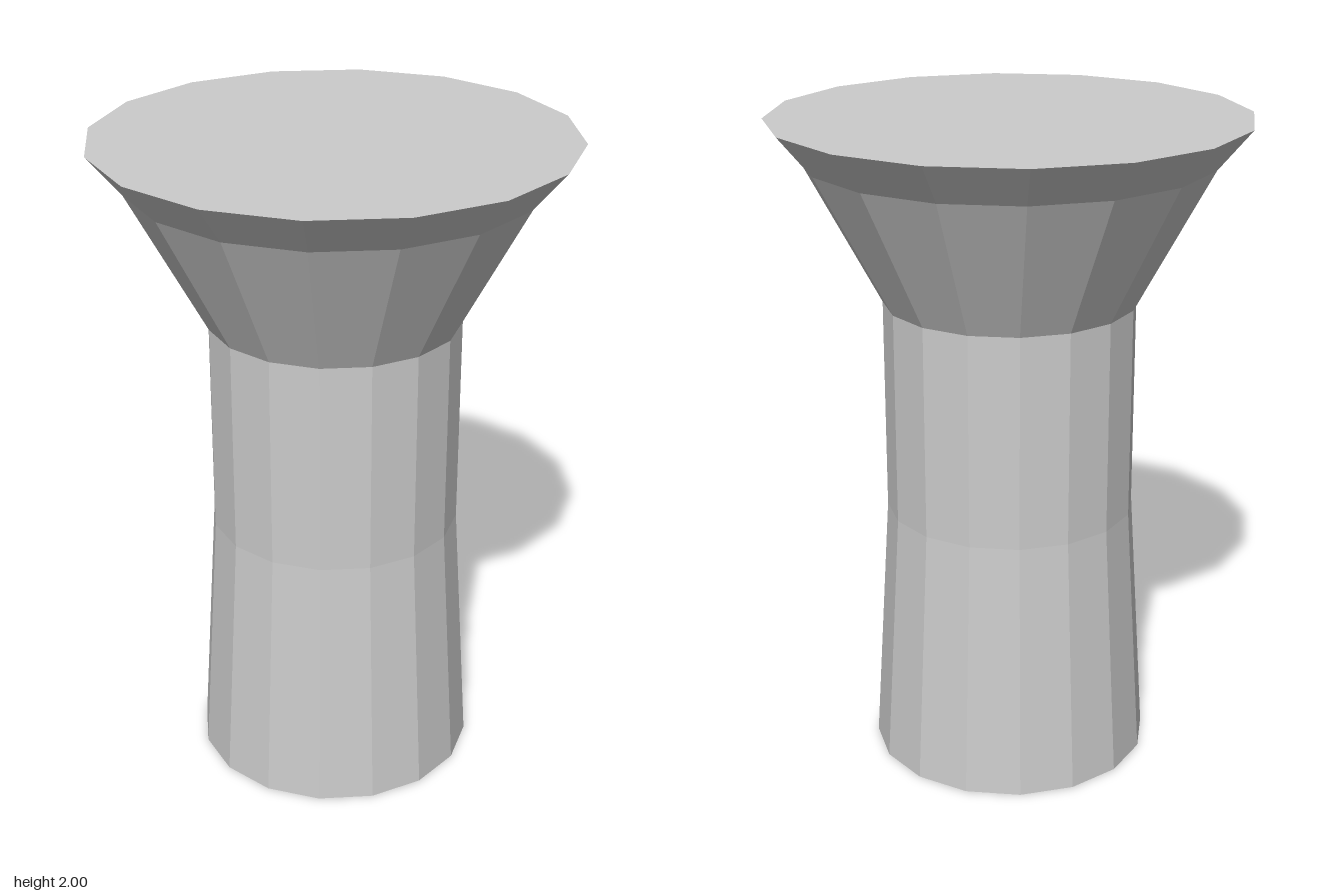
import * as THREE from 'three';

const SIDES = 16;

// [radius, height] from the base centre up to the top centre
const PROFILE = [
  [0, 0],
  [0.43, 0],     // foot
  [0.38, 0.8],   // end of the tapered base
  [0.38, 1.45],  // end of the straight shaft
  [0.61, 1.88],  // end of the flare
  [0.71, 2],     // rim
  [0, 2],
];

export function createModel() {
  const group = new THREE.Group();
  group.name = 'flaredColumn';

  // Faceted column, closed at both ends
  const points = PROFILE.map(([r, y]) => new THREE.Vector2(r, y));
  const column = new THREE.Mesh(
    new THREE.LatheGeometry(points, SIDES),
    new THREE.MeshStandardMaterial({ color: 0xcccccc, flatShading: true })
  );
  column.name = 'column';
  group.add(column);

  return group;
}
